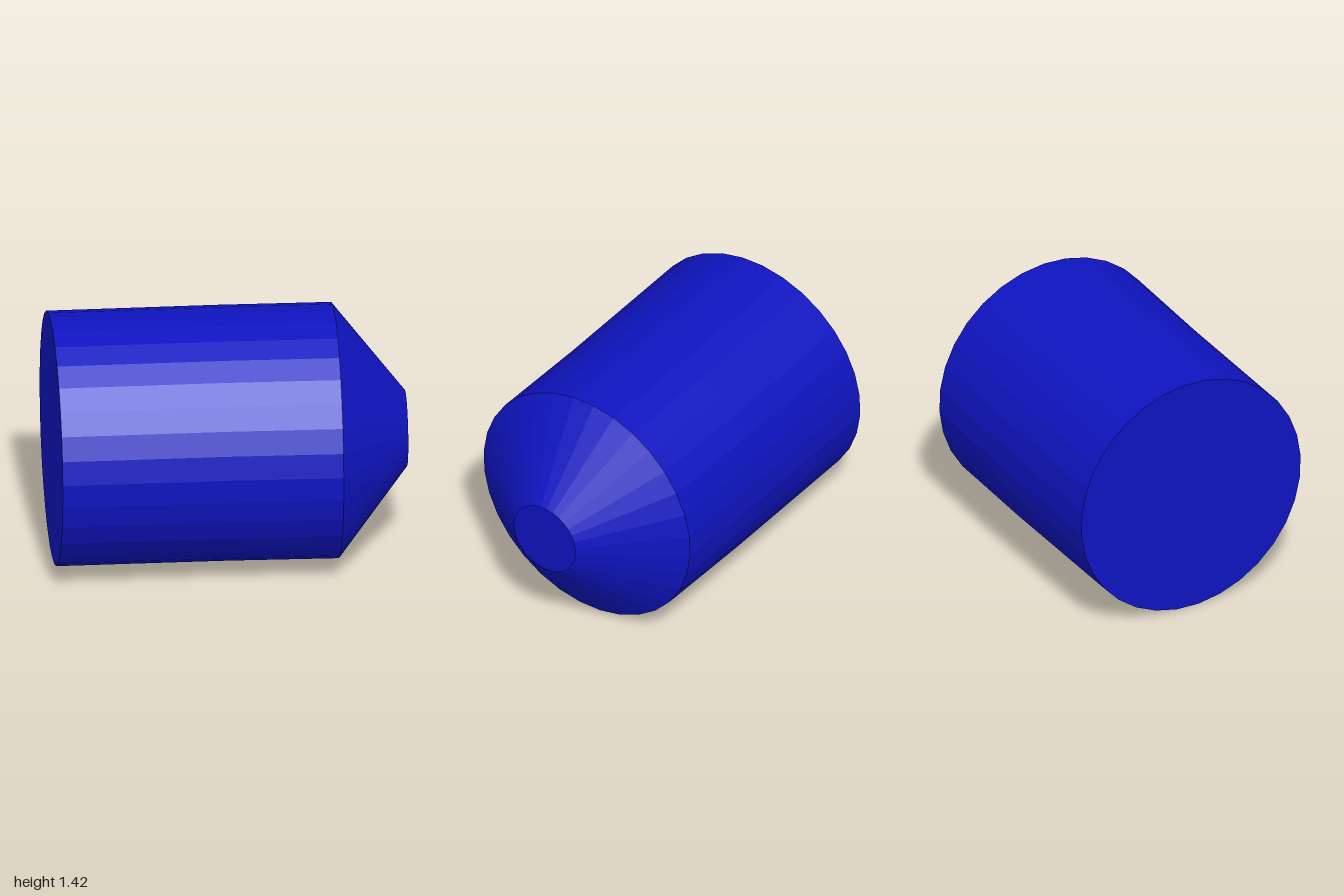
import * as THREE from 'three';

const SIDES = 32;
const START = THREE.MathUtils.degToRad(3.8);
const CENTRE_Y = 0.712;

// Cross-sections along x: centre x, centre z, radius, lean of the ring (x per z)
const BACK = { x: -0.975, z: 0.005, r: 0.708, lean: 0.036 };
const MIDDLE = { x: -0.03, z: -0.015, r: 0.709, lean: 0.02 };
const SHOULDER = { x: 0.6, z: -0.015, r: 0.71, lean: 0.014 };
const TIP = { x: 0.993, z: -0.02, r: 0.212, lean: 0.012 };

function ringPoint(ring, j) {
  const a = START + (j % SIDES) * Math.PI * 2 / SIDES;
  const dz = -Math.sin(a) * ring.r;
  return [ring.x + ring.lean * dz, CENTRE_Y + Math.cos(a) * ring.r, ring.z + dz];
}

// Skin neighbouring rings; a ring of radius 0 closes the end as a fan
function loft(rings) {
  const positions = [];
  for (let i = 0; i < rings.length - 1; i++) {
    const [from, to] = [rings[i], rings[i + 1]];
    for (let j = 0; j < SIDES; j++) {
      const a = ringPoint(from, j), b = ringPoint(from, j + 1);
      const c = ringPoint(to, j + 1), d = ringPoint(to, j);
      if (to.r > 0) positions.push(...a, ...d, ...c);
      if (from.r > 0) positions.push(...a, ...c, ...b);
    }
  }
  const geometry = new THREE.BufferGeometry();
  geometry.setAttribute('position', new THREE.Float32BufferAttribute(positions, 3));
  geometry.computeVertexNormals();
  return geometry;
}

export function createModel() {
  const group = new THREE.Group();
  group.name = 'taperedPlug';
  const blue = new THREE.MeshStandardMaterial({ color: 0x0f14c0, flatShading: true });
  const centre = (ring) => ({ ...ring, r: 0 });

  const parts = {
    backCap: [centre(BACK), BACK],
    body: [BACK, MIDDLE, SHOULDER],
    nose: [SHOULDER, TIP],
    tipCap: [TIP, centre(TIP)],
  };
  for (const [name, rings] of Object.entries(parts)) {
    const mesh = new THREE.Mesh(loft(rings), blue);
    mesh.name = name;
    group.add(mesh);
  }
  return group;
}
